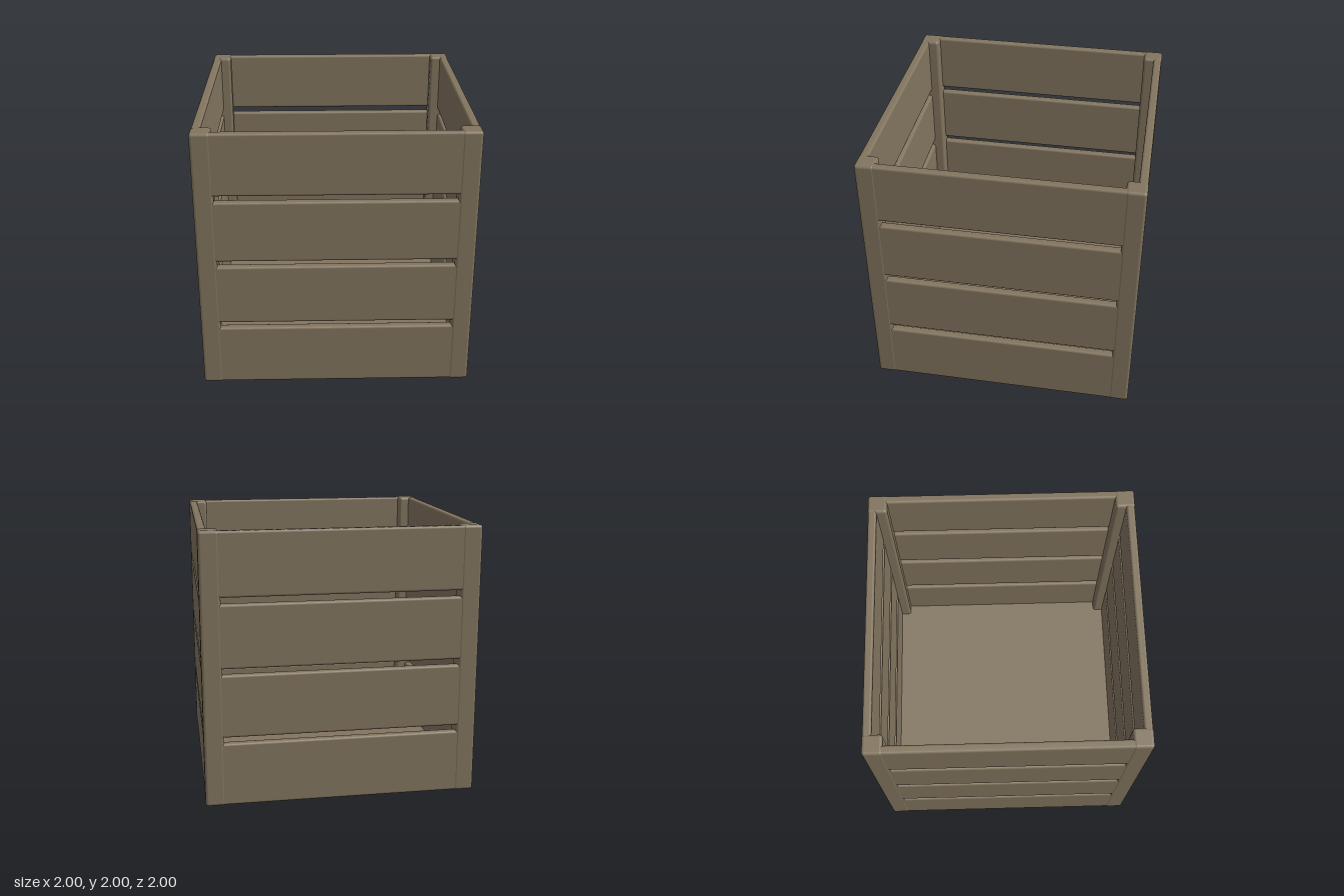
import * as THREE from 'three';
import { RoundedBoxGeometry } from 'three/addons/geometries/RoundedBoxGeometry.js';

export function createModel() {
  const crate = new THREE.Group();
  crate.name = 'slattedCrate';
  const wood = new THREE.MeshStandardMaterial({ color: 0x82755f });
  wood.name = 'weathered wood';

  function addBlock(parent, name, size, position, radius) {
    const mesh = new THREE.Mesh(new RoundedBoxGeometry(...size, 3, radius), wood);
    mesh.name = name;
    mesh.position.set(...position);
    parent.add(mesh);
  }

  // Square corner posts
  const post = 0.145;
  for (const sx of [-1, 1]) {
    for (const sz of [-1, 1]) {
      addBlock(crate, 'cornerPost', [post, 2, post],
        [sx * (1 - post / 2), 1, sz * (1 - post / 2)], 0.022);
    }
  }

  // Four slats on each wall, given by their lower and upper edges
  const slats = [[0.003, 0.472], [0.518, 0.98], [1.025, 1.488], [1.535, 1.997]];
  const thickness = 0.063;
  ['front', 'left', 'back', 'right'].forEach((side, i) => {
    const wall = new THREE.Group();
    wall.name = side + 'Wall';
    wall.rotation.y = i * Math.PI / 2;
    for (const [low, high] of slats) {
      addBlock(wall, 'slat', [1.9, high - low, thickness],
        [0, (low + high) / 2, 0.997 - thickness / 2], 0.018);
    }
    crate.add(wall);
  });

  // Floor panel
  const floor = new THREE.Mesh(new THREE.BoxGeometry(1.9, 0.06, 1.9), wood);
  floor.name = 'floor';
  floor.position.y = 0.036;
  crate.add(floor);

  return crate;
}
